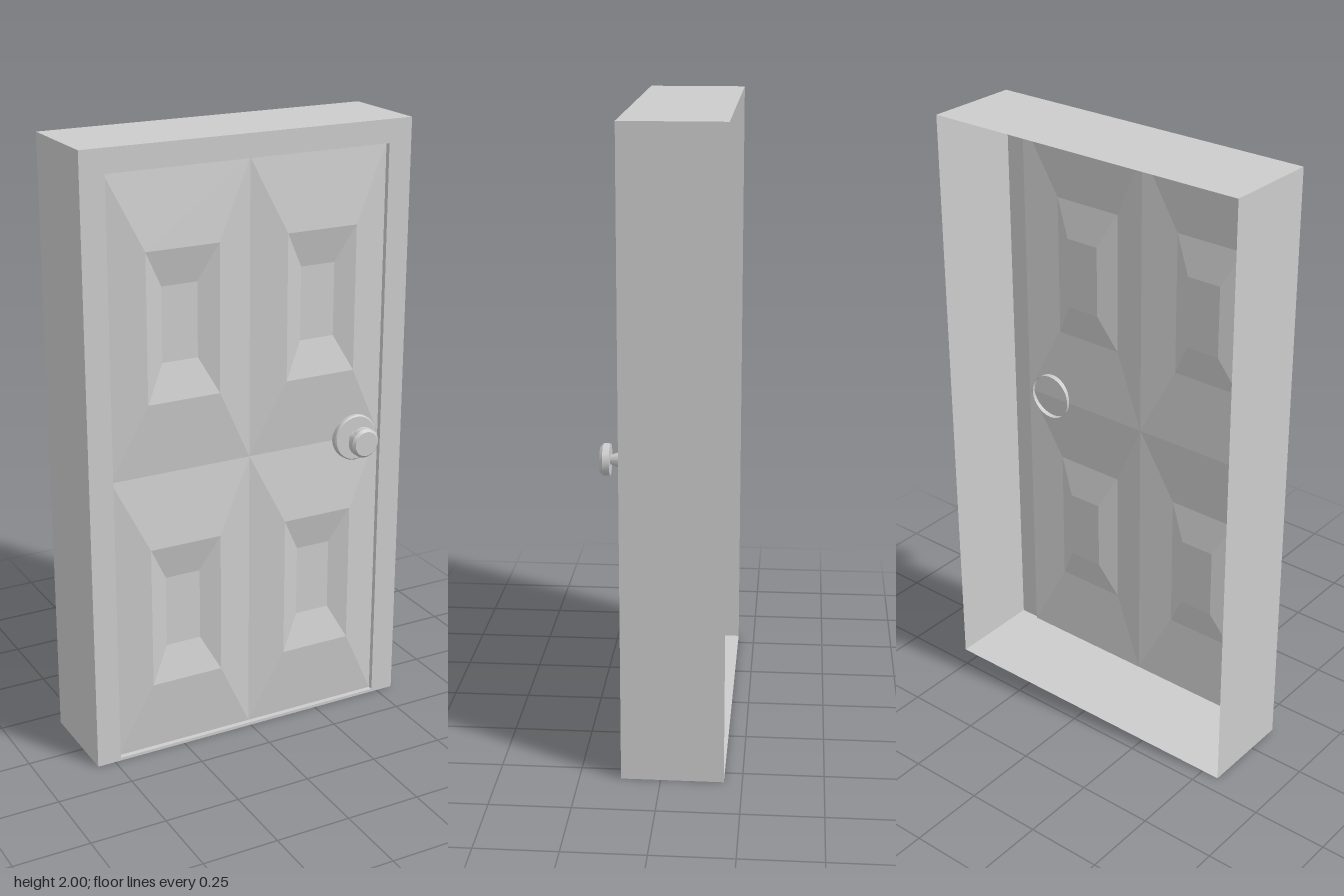
import * as THREE from 'three';
import { toCreasedNormals } from 'three/addons/utils/BufferGeometryUtils.js';

const grey = new THREE.MeshStandardMaterial({ color: 0xcccccc, side: THREE.DoubleSide });

// Rectangle loop, counter-clockwise seen from the front.
function rect(cx, cy, halfW, halfH, z) {
  return [[-1, -1], [1, -1], [1, 1], [-1, 1]].map(([sx, sy]) => [cx + sx * halfW, cy + sy * halfH, z]);
}

// Joins successive rectangles with flat faces; optionally closes the last one.
function loftRects(loops, closeEnd) {
  const pos = [];
  const quad = (a, b, c, d) => pos.push(...a, ...b, ...c, ...a, ...c, ...d);
  for (let k = 0; k < loops.length - 1; k++) {
    const a = loops[k], b = loops[k + 1];
    for (let i = 0; i < 4; i++) {
      const j = (i + 1) % 4;
      quad(a[i], a[j], b[j], b[i]);
    }
  }
  if (closeEnd) quad(...loops[loops.length - 1]);
  const geo = new THREE.BufferGeometry();
  geo.setAttribute('position', new THREE.Float32BufferAttribute(pos, 3));
  geo.computeVertexNormals();
  return geo;
}

// Turned part whose axis runs along z; profile is [radius, z].
function turned(name, profile) {
  const geo = new THREE.LatheGeometry(profile.map(([r, z]) => new THREE.Vector2(r, z)), 28);
  geo.rotateX(Math.PI / 2);
  const mesh = new THREE.Mesh(toCreasedNormals(geo, 0.5), grey);
  mesh.name = name;
  return mesh;
}

export function createModel() {
  const group = new THREE.Group();
  group.name = 'door';

  const frontZ = 0.122, backZ = -0.194, lowZ = 0.105, rimZ = 0.132;
  const doorHalfW = 0.48, doorHalfH = 0.9575, doorY = 0.9675;

  // Frame: open-backed shell with a front border and a shallow jamb
  const frame = new THREE.Mesh(loftRects([
    rect(0, 1, 0.56, 1, backZ),
    rect(0, 1, 0.56, 1, frontZ),
    rect(0, doorY, doorHalfW, doorHalfH, frontZ),
    rect(0, doorY, doorHalfW, doorHalfH, lowZ),
  ], false), grey);
  frame.name = 'frame';
  group.add(frame);

  // Four panels: slope up to a raised rim, then down to a sunken field
  const w = doorHalfW / 2, h = doorHalfH / 2;
  for (const sx of [-1, 1]) {
    for (const sy of [-1, 1]) {
      const cx = sx * w, cy = doorY + sy * h;
      const panel = new THREE.Mesh(loftRects([
        rect(cx, cy, w, h, lowZ),
        rect(cx, cy, w * 0.51, h * 0.497, rimZ),
        rect(cx, cy, w * 0.25, h * 0.25, lowZ),
      ], true), grey);
      panel.name = (sy > 0 ? 'upper' : 'lower') + (sx > 0 ? 'Left' : 'Right') + 'Panel';
      group.add(panel);
    }
  }

  // Knob: open-backed rose plate, tapered neck and chamfered head
  const knob = new THREE.Group();
  knob.name = 'knob';
  knob.position.set(0.383, 0.97, 0);
  knob.add(turned('rosePlate', [[0.077, 0.096], [0.077, 0.125], [0.073, 0.129], [0, 0.129]]));
  knob.add(turned('knobNeck', [[0.026, 0.128], [0.014, 0.166]]));
  knob.add(turned('knobHead', [[0, 0.164], [0.049, 0.164], [0.049, 0.185], [0.041, 0.194], [0, 0.194]]));
  group.add(knob);

  return group;
}
